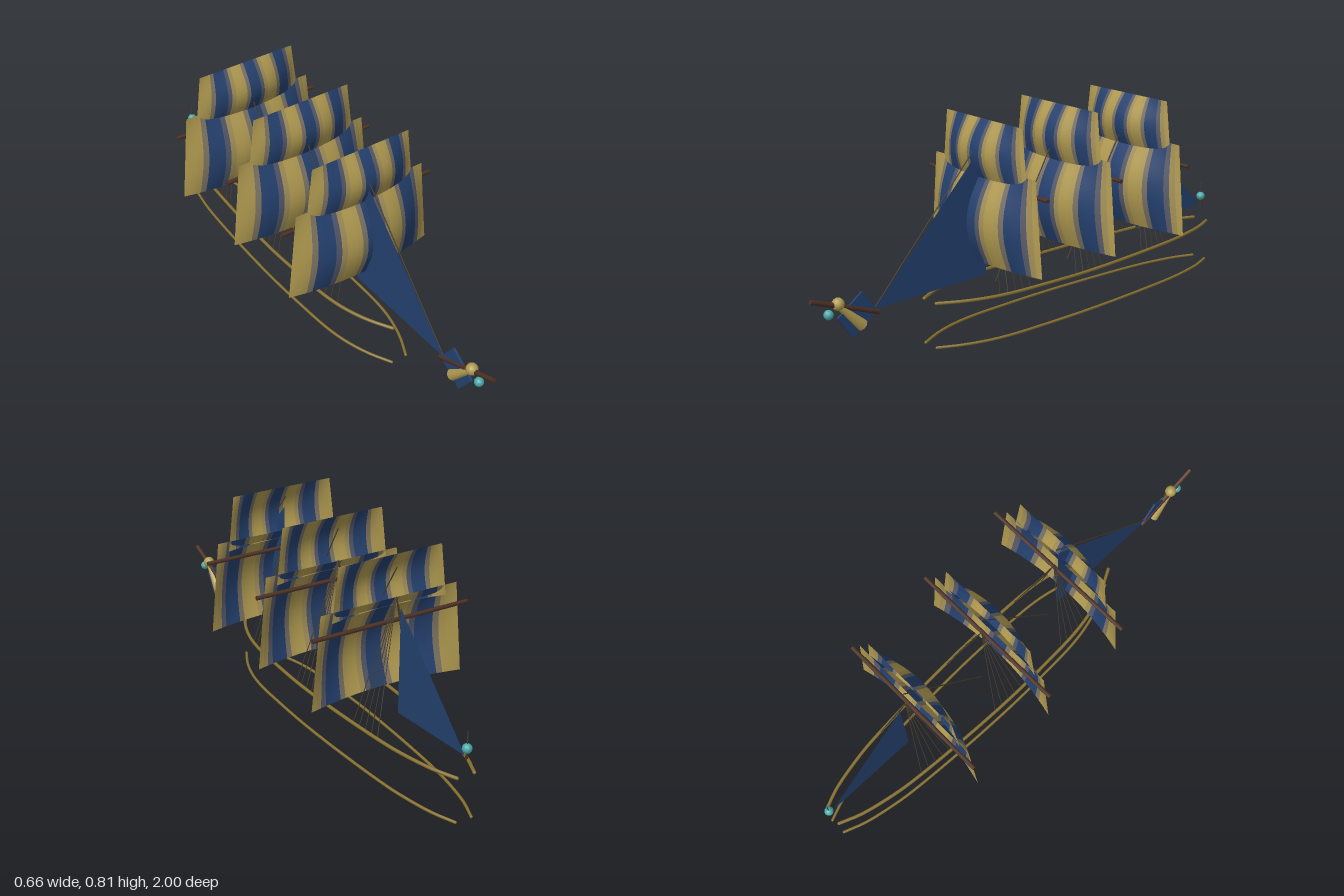
import * as THREE from 'three';
import { ParametricGeometry } from 'three/addons/geometries/ParametricGeometry.js';

const GOLD = new THREE.Color(0xb09a50), BLUE = new THREE.Color(0x24406e);
const mat = (color, side = THREE.FrontSide) => new THREE.MeshStandardMaterial({ color, side });
const V = (x, y, z) => new THREE.Vector3(x, y, z);

export function createModel() {
  const model = new THREE.Group();
  const wood = mat(0x4b3024), rope = mat(0x4a4030), trim = mat(0x86702f);
  const gold = mat(GOLD), teal = mat(0x4aa8a8), cloth = mat(BLUE, THREE.DoubleSide);

  const add = (name, geometry, material, parent = model) => {
    const mesh = new THREE.Mesh(geometry, material);
    mesh.name = name;
    parent.add(mesh);
    return mesh;
  };
  // Round bar between two points
  const bar = (name, a, b, r0, r1, material, sides = 8, parent = model) => {
    const mesh = add(name, new THREE.CylinderGeometry(r1, r0, a.distanceTo(b), sides), material, parent);
    mesh.position.copy(a).add(b).multiplyScalar(0.5);
    mesh.quaternion.setFromUnitVectors(V(0, 1, 0), b.clone().sub(a).normalize());
    return mesh;
  };
  const ball = (name, x, y, z, r, material) =>
    add(name, new THREE.SphereGeometry(r, 12, 8), material).position.set(x, y, z);

  // Hull rails: half-widths along the length, mirrored
  const outline = [[0.035, 0.49], [0.08, 0.4], [0.112, 0.3], [0.128, 0.2], [0.135, 0.05], [0.138, -0.15],
    [0.13, -0.4], [0.113, -0.65], [0.102, -0.74], [0.07, -0.89], [0.035, -0.98]];
  for (const side of [-1, 1]) {
    for (const [name, y, widen, sag, r] of [['upperRail', 0.18, 1.02, 0.008, 0.0065], ['lowerRail', 0.007, 0.95, 0, 0.0055]]) {
      const pts = outline.map(([x, z]) =>
        V(side * x * widen, y - sag * Math.max(0, 1 - Math.abs(z + 0.2) / 0.7), z));
      add(name, new THREE.TubeGeometry(new THREE.CatmullRomCurve3(pts), 48, r, 8), trim);
      for (const p of [pts[0], pts[pts.length - 1]]) ball('railEnd', p.x, p.y, p.z, r, trim);
    }
  }

  // Billowing square sail, striped across by narrow strips of cloth
  const sail = (name, parent, { top, bottom, topHalf, bottomHalf, belly, foot }) => {
    const group = new THREE.Group();
    group.name = name;
    parent.add(group);
    const strips = 28;
    for (let i = 0; i < strips; i++) {
      const surface = (s, t, target) => {
        const u = ((i + s) / strips) * 2 - 1;
        const half = THREE.MathUtils.lerp(bottomHalf, topHalf, t);
        const bulge = (belly * Math.sin(Math.PI * t) + foot * (1 - t)) * (1 - u * u);
        target.set(u * half, THREE.MathUtils.lerp(bottom, top, t), bulge);
      };
      const u = ((i + 0.5) / strips) * 2 - 1;
      const wave = u < -0.86 ? 0 : 0.5 + 0.5 * Math.cos((u - 0.05) * 2 * Math.PI / 0.64);
      const color = GOLD.clone().lerp(BLUE, THREE.MathUtils.smoothstep(wave, 0.1, 0.85));
      add('sailStrip', new ParametricGeometry(surface, 1, 14), mat(color, THREE.DoubleSide), group);
    }
  };

  // Three sets of square sails, yard and shrouds
  const railHalf = z => {
    const i = outline.findIndex(p => p[1] <= z);
    const [x0, z0] = outline[i - 1], [x1, z1] = outline[i];
    return THREE.MathUtils.mapLinear(z, z0, z1, x0, x1);
  };
  [[0.23, 0, 0.332], [-0.14, 0, 0.326], [-0.515, 0.014, 0.32]].forEach(([z, drop, yardHalf], i) => {
    const rig = new THREE.Group();
    rig.name = ['foreRig', 'mainRig', 'aftRig'][i];
    rig.position.z = z;
    model.add(rig);
    sail('lowerSail', rig, { top: 0.64, bottom: 0.283, topHalf: 0.28, bottomHalf: 0.315, belly: 0.065, foot: 0.04 });
    sail('upperSail', rig, { top: 0.815 - drop, bottom: 0.6, topHalf: 0.21, bottomHalf: 0.235, belly: 0.042, foot: 0.025 });
    bar('yard', V(-yardHalf, 0.575 - drop, -0.012), V(yardHalf, 0.575 - drop, -0.012), 0.008, 0.008, wood, 8, rig);
    for (const side of [-1, 1]) {
      for (const dz of [0.07, 0.035, 0, -0.035, -0.07]) {
        const foot = V(side * railHalf(z - 0.04 + dz), 0.178, -0.04 + dz);
        bar('shroud', V(0, 0.66, -0.035), foot, 0.0016, 0.0016, rope, 5, rig);
      }
    }
  });

  // Stays running forward from the head of each rig
  for (const [y0, z0, y1, z1] of [[0.79, 0.2, 0.19, 0.76], [0.785, -0.175, 0.18, 0.18], [0.77, -0.55, 0.18, -0.19]])
    bar('stay', V(0, y0, z0), V(0, y1, z1), 0.0022, 0.0022, rope, 6);

  // Triangular fore-and-aft sails on the centre line
  const triangle = (name, ...points) => {
    const g = new THREE.BufferGeometry().setFromPoints(points);
    g.computeVertexNormals();
    add(name, g, cloth);
  };
  triangle('jib', V(0, 0.74, 0.215), V(0, 0.22, 0.225), V(0, 0.21, 0.74));
  triangle('spanker', V(0, 0.63, -0.58), V(0, 0.225, -0.58), V(0, 0.25, -0.97));

  // Bowsprit and figurehead
  bar('bowsprit', V(0, 0.2, 0.72), V(0, 0.305, 0.995), 0.01, 0.009, wood);
  bar('figureBody', V(0, 0.168, 0.79), V(0, 0.258, 0.88), 0.023, 0.011, gold, 10);
  ball('figureHead', 0, 0.27, 0.885, 0.023, gold);
  ball('figureOrb', 0, 0.241, 0.925, 0.018, teal);
  const fin = add('figureFin', new THREE.BoxGeometry(0.008, 0.106, 0.13), mat(BLUE));
  fin.position.set(0, 0.212, 0.808);
  fin.rotation.x = 0.62;

  // Stern lantern
  bar('lanternPole', V(0, 0.235, -0.98), V(0, 0.345, -0.98), 0.002, 0.002, rope, 6);
  bar('lanternBase', V(0, 0.245, -0.98), V(0, 0.265, -0.98), 0.005, 0.005, wood);
  ball('lantern', 0, 0.283, -0.98, 0.018, teal);

  return model;
}
